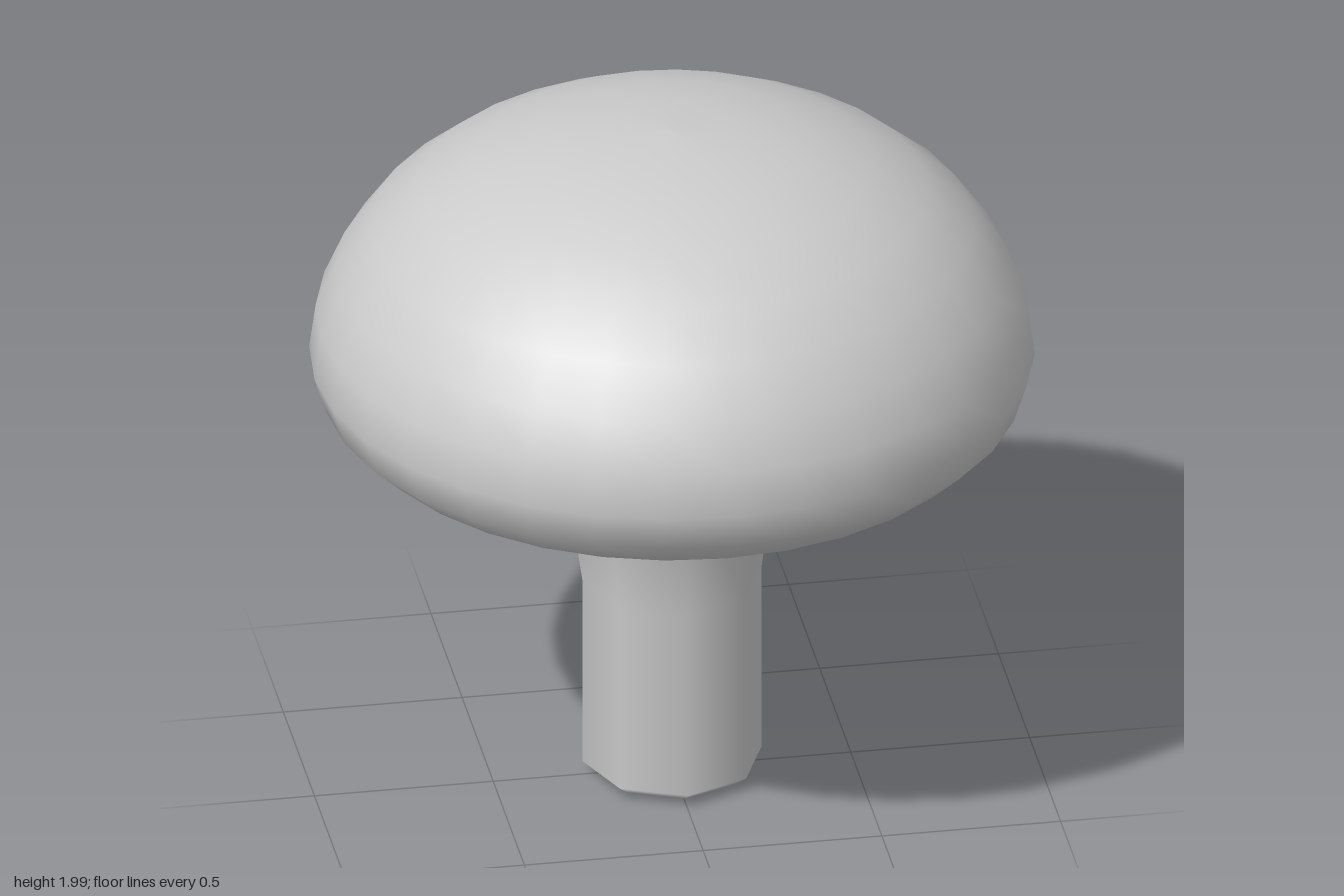
import * as THREE from 'three';

export function createModel() {
  const group = new THREE.Group();
  const material = new THREE.MeshStandardMaterial({ color: 0xcccccc });

  // Turns a bottom-to-top outline of [radius, height] pairs around the y axis
  const turned = (name, outline, sides) => {
    const points = outline.map(([r, y]) => new THREE.Vector2(r, y));
    const mesh = new THREE.Mesh(new THREE.LatheGeometry(points, sides), material);
    mesh.name = name;
    group.add(mesh);
  };

  // Stem: eight-sided, bevelled foot, flaring out into the cap
  turned('stem', [
    [0, 0], [0.12, 0.003], [0.215, 0.013], [0.25, 0.04],
    [0.25, 0.6], [0.31, 1.02], [0.4, 1.062], [0.46, 1.075],
  ], 8);

  // Cap: rounded rim, nearly flat underside and a domed top
  turned('cap', [
    [0, 1.07], [0.2, 1.068], [0.4, 1.062], [0.58, 1.058], [0.76, 1.07],
    [0.88, 1.11], [0.965, 1.19], [1, 1.3], [0.982, 1.43], [0.925, 1.56],
    [0.832, 1.69], [0.708, 1.795], [0.556, 1.88], [0.383, 1.94],
    [0.195, 1.975], [0, 1.985],
  ], 32);

  return group;
}
